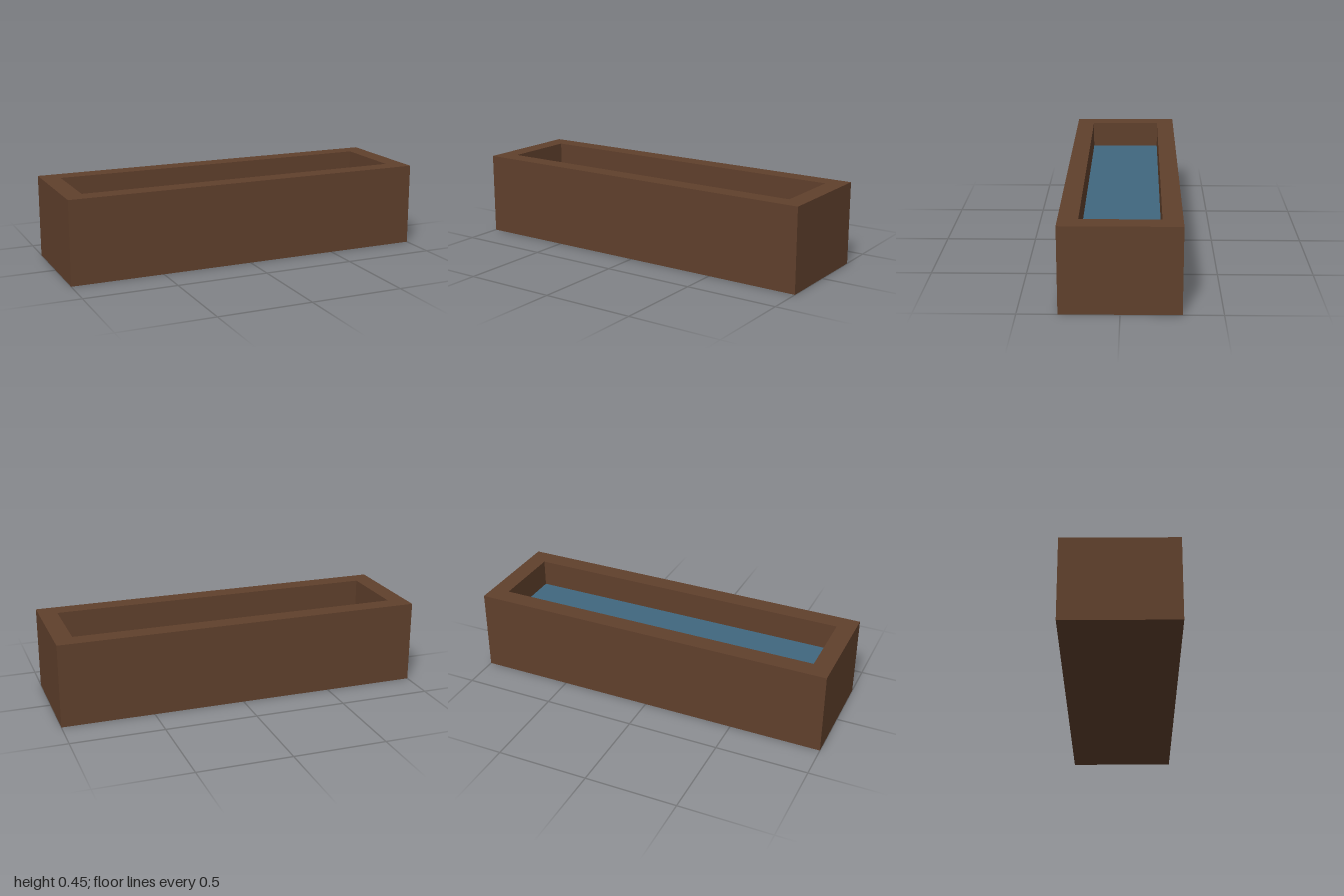
import * as THREE from 'three';

const LENGTH = 2, WIDTH = 0.6, HEIGHT = 0.45, WALL = 0.1;
const WATER_LEVEL = 0.3, FLOOR = 0.1;

// Corners of a centred rectangle
function rectangle(w, d) {
  return [[-1, -1], [1, -1], [1, 1], [-1, 1]].map(
    ([x, y]) => new THREE.Vector2((x * w) / 2, (y * d) / 2));
}

export function createModel() {
  const brown = new THREE.MeshStandardMaterial({ color: 0x60402c });
  brown.name = 'brown wood';
  const blue = new THREE.MeshStandardMaterial({ color: 0x40677f });
  blue.name = 'blue water';

  const trough = new THREE.Group();
  trough.name = 'waterTrough';
  const innerLength = LENGTH - 2 * WALL, innerWidth = WIDTH - 2 * WALL;

  // Four walls as one rectangular ring, extruded upwards
  const ring = new THREE.Shape(rectangle(LENGTH, WIDTH));
  ring.holes.push(new THREE.Path(rectangle(innerLength, innerWidth).reverse()));
  const wallGeometry = new THREE.ExtrudeGeometry(ring, { depth: HEIGHT, bevelEnabled: false });
  wallGeometry.rotateX(-Math.PI / 2);
  const walls = new THREE.Mesh(wallGeometry, brown);
  walls.name = 'walls';

  // Floor closing the ring from below
  const floor = new THREE.Mesh(new THREE.BoxGeometry(innerLength, FLOOR, innerWidth), brown);
  floor.name = 'floor';
  floor.position.y = FLOOR / 2;

  // Water surface sunk below the rim
  const water = new THREE.Mesh(new THREE.PlaneGeometry(innerLength, innerWidth), blue);
  water.name = 'water';
  water.rotation.x = -Math.PI / 2;
  water.position.y = WATER_LEVEL;

  trough.add(walls, floor, water);
  return trough;
}
